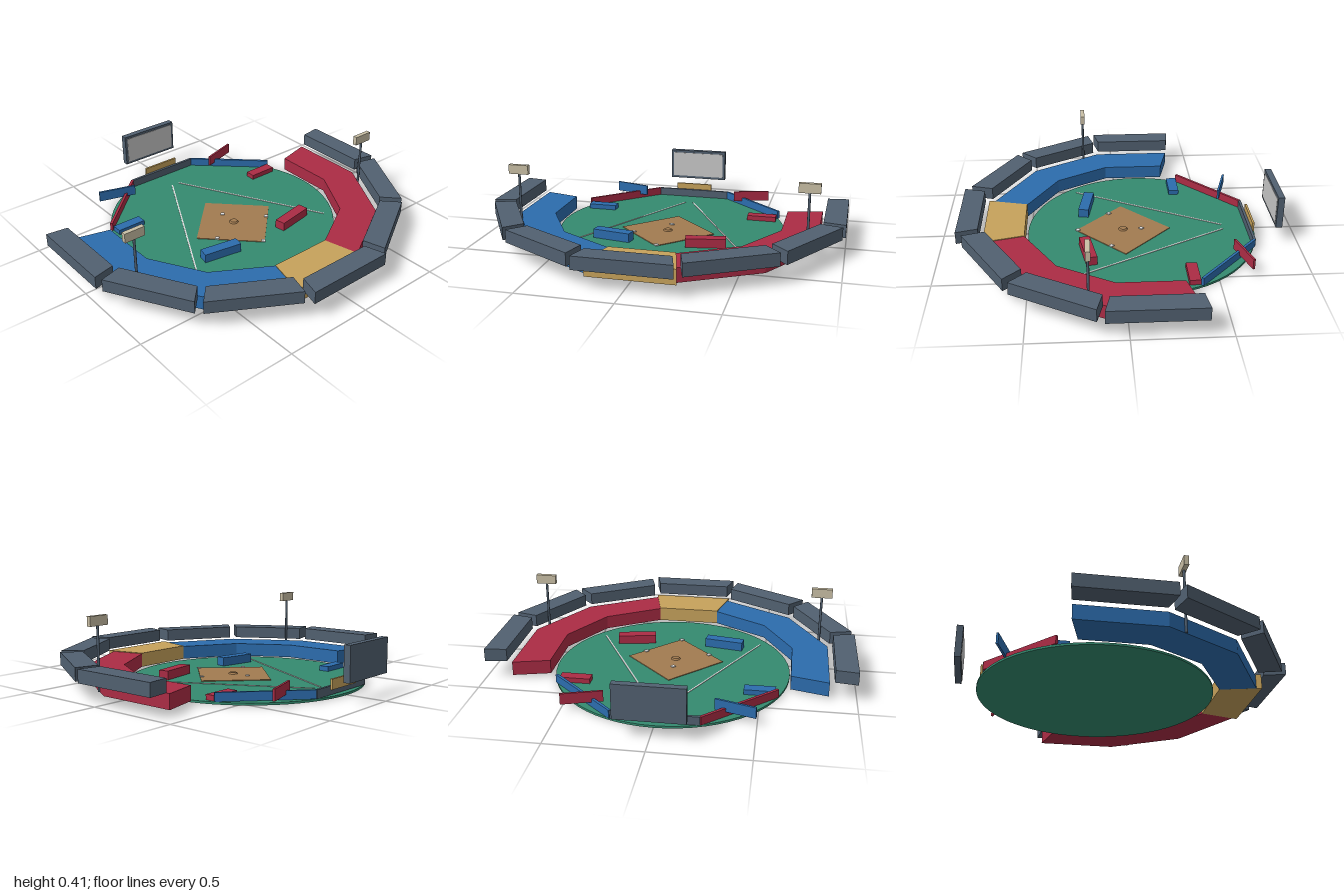
import * as THREE from 'three';

const mat = (name, color) => new THREE.MeshStandardMaterial({ name, color });

export function createModel() {
  const root = new THREE.Group();
  root.name = 'ballpark';

  const grass = mat('grass green', 0x348a6f);
  const clay = mat('clay brown', 0xa27b50);
  const blue = mat('blue', 0x2c6cad);
  const red = mat('red', 0xab2c45);
  const gold = mat('gold', 0xc6a25b);
  const slate = mat('slate', 0x516070);
  const chalk = mat('chalk white', 0xdedede);
  const screenGrey = mat('screen grey', 0xc8c8c8);
  const cream = mat('lamp cream', 0xc9bfa5);

  const add = (name, geometry, material, x = 0, y = 0, z = 0, turn = 0) => {
    const mesh = new THREE.Mesh(geometry, material);
    mesh.name = name;
    mesh.position.set(x, y, z);
    mesh.rotation.y = turn;
    root.add(mesh);
    return mesh;
  };

  // Box standing with its base at height y
  const box = (name, material, w, h, d, x, y, z, turn = 0) =>
    add(name, new THREE.BoxGeometry(w, h, d), material, x, y + h / 2, z, turn);

  // Upright block over a ground plan of [x, z] corners
  const block = (name, material, plan, y0, y1) => {
    const shape = new THREE.Shape(plan.map(([x, z]) => new THREE.Vector2(x, -z)));
    const geometry = new THREE.ExtrudeGeometry(shape, { depth: y1 - y0, bevelEnabled: false });
    geometry.rotateX(-Math.PI / 2);
    return add(name, geometry, material, 0, y0, 0);
  };

  // Thin bar on the ground plan from a to b
  const bar = (name, material, a, b, thick, y0, h) => {
    const dx = b[0] - a[0], dz = b[1] - a[1];
    return box(name, material, Math.hypot(dx, dz), h, thick,
      (a[0] + b[0]) / 2, y0, (a[1] + b[1]) / 2, Math.atan2(-dz, dx));
  };

  // Playing field
  add('field', new THREE.CylinderGeometry(0.65, 0.65, 0.012, 64), grass, 0, 0.006, -0.13);
  const side = 0.27 * Math.SQRT2;
  box('infield', clay, side, 0.004, side, 0, 0.012, -0.025, Math.PI / 4);
  add('mound', new THREE.CylinderGeometry(0.02, 0.026, 0.008, 24), clay, 0, 0.02, -0.025);
  for (const [x, z] of [[0, 0.235], [0.183, 0.05], [0, -0.13], [-0.183, 0.05]]) {
    box('base', chalk, 0.022, 0.006, 0.022, x, 0.015, z, Math.PI / 4);
  }

  // Ground plans for the +x half of the bowl
  const lowerPlans = [
    [[0.655, -0.305], [0.855, -0.357], [0.855, 0.098], [0.655, 0.05]],
    [[0.655, 0.05], [0.855, 0.098], [0.628, 0.495], [0.485, 0.35]],
    [[0.485, 0.35], [0.628, 0.495], [0.228, 0.725], [0.18, 0.53]],
  ];
  const upperPlans = [
    [[0.88, -0.362], [1, -0.378], [1, 0.118], [0.88, 0.09]],
    [[0.865, 0.123], [0.985, 0.155], [0.74, 0.582], [0.655, 0.493]],
    [[0.625, 0.52], [0.71, 0.61], [0.285, 0.857], [0.25, 0.735]],
  ];

  for (const s of [1, -1]) {
    const home = s > 0 ? red : blue;
    const away = s > 0 ? blue : red;
    const label = s > 0 ? 'left' : 'right';
    const flip = plan => plan.map(([x, z]) => [s * x, z]);

    // Seating bowl
    for (const plan of lowerPlans) block(label + 'LowerStand', home, flip(plan), 0.014, 0.092);
    for (const plan of upperPlans) block(label + 'UpperDeck', slate, flip(plan), 0.1, 0.17);

    // Foul line, outfield wall and angled outfield banner
    bar(label + 'FoulLine', chalk, [s * 0.468, 0.24], [s * 0.025, -0.6], 0.008, 0.012, 0.003);
    bar(label + 'OutfieldWall', away, [s * 0.592, -0.4], [s * 0.225, -0.742], 0.015, 0.014, 0.046);
    bar(label + 'Banner', home, [s * 0.285, -0.62], [s * 0.495, -0.685], 0.012, 0.04, 0.06);

    // Dugout and bullpen
    box(label + 'Dugout', home, 0.22, 0.05, 0.06, s * 0.262, 0.014, 0.182, s * 0.17);
    box(label + 'Bullpen', home, 0.168, 0.028, 0.06, s * 0.497, 0.012, -0.365);

    // Floodlight
    add(label + 'LightPole', new THREE.CylinderGeometry(0.007, 0.007, 0.345, 12), slate, s * 0.806, 0.1875, 0.19);
    box(label + 'LampHead', cream, 0.115, 0.052, 0.025, s * 0.806, 0.355, 0.19);
  }

  // Stands behind home plate
  block('centreLowerStand', gold, [[-0.18, 0.53], [0.18, 0.53], [0.235, 0.755], [-0.235, 0.755]], 0.014, 0.096);
  block('centreUpperDeck', slate, [[-0.22, 0.775], [0.22, 0.775], [0.253, 0.893], [-0.253, 0.893]], 0.1, 0.17);

  // Centre field wall, sign and scoreboard
  box('centreWall', slate, 0.45, 0.046, 0.015, 0, 0.014, -0.742);
  box('centreSign', gold, 0.225, 0.055, 0.012, 0, 0.042, -0.756);
  box('scoreboard', slate, 0.36, 0.187, 0.036, 0, 0.103, -0.885);
  box('scoreboardScreen', screenGrey, 0.33, 0.157, 0.004, 0, 0.118, -0.866);

  return root;
}
